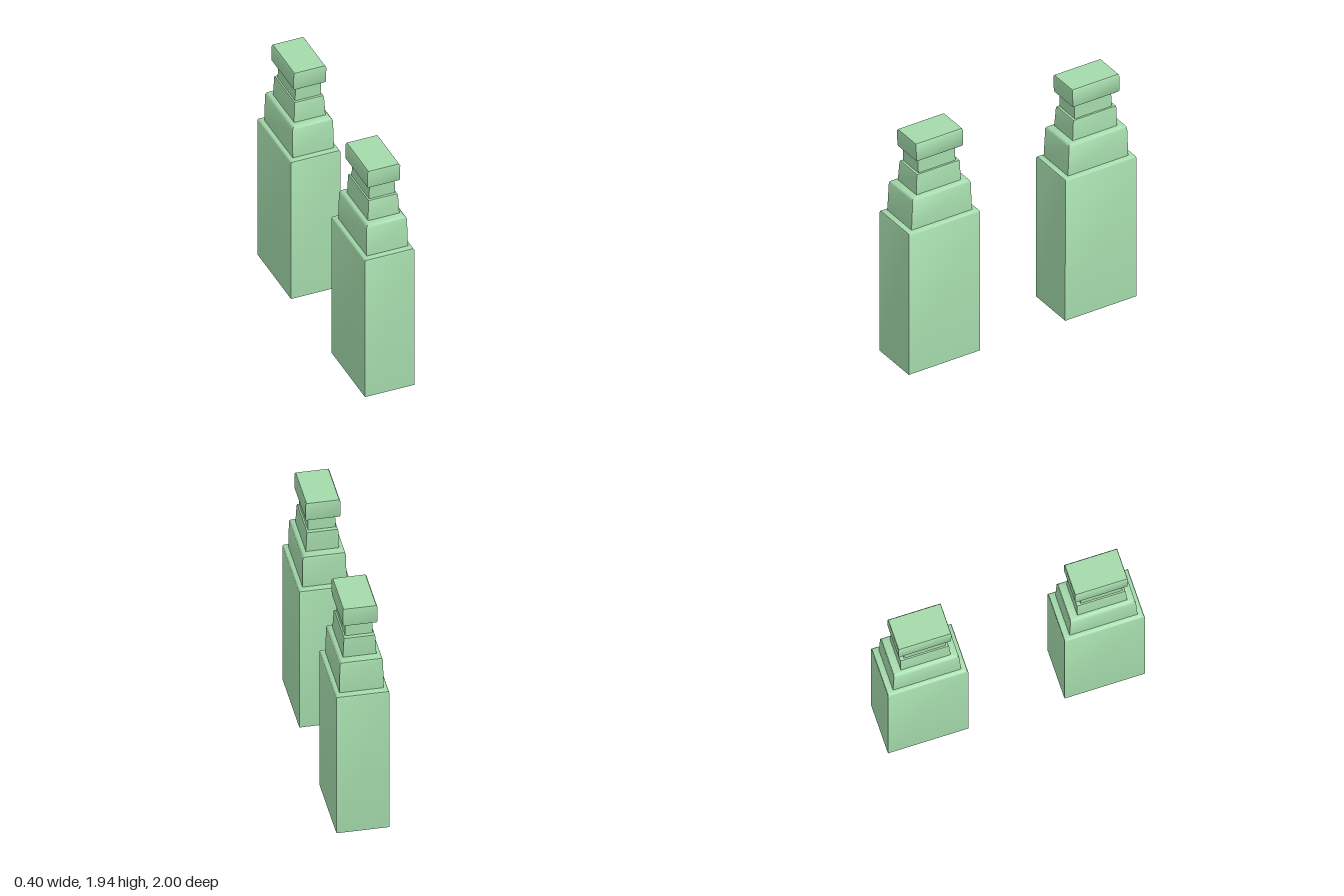
import * as THREE from 'three';
import { toCreasedNormals } from 'three/addons/utils/BufferGeometryUtils.js';

const material = new THREE.MeshStandardMaterial({ color: 0xa3d9aa, side: THREE.DoubleSide });

// Skin a stack of rectangular rings: [y, half width, z min, z max]
function loft(name, rings, closeTop = false) {
  const positions = [];
  const indices = [];
  for (const [y, w, z0, z1] of rings) {
    positions.push(-w, y, z1, w, y, z1, w, y, z0, -w, y, z0);
  }
  for (let r = 0; r < rings.length - 1; r++) {
    for (let i = 0; i < 4; i++) {
      const a = r * 4 + i;
      const b = r * 4 + (i + 1) % 4;
      indices.push(a, b, b + 4, a, b + 4, a + 4);
    }
  }
  if (closeTop) {
    const t = (rings.length - 1) * 4;
    indices.push(t, t + 1, t + 2, t, t + 2, t + 3);
  }
  const geometry = new THREE.BufferGeometry();
  geometry.setAttribute('position', new THREE.Float32BufferAttribute(positions, 3));
  geometry.setIndex(indices);
  const mesh = new THREE.Mesh(toCreasedNormals(geometry, Math.PI / 3.5), material);
  mesh.name = name;
  return mesh;
}

function createTower(name) {
  const tower = new THREE.Group();
  tower.name = name;
  tower.add(
    // Tall shaft, open underneath, with a softened shoulder
    loft('shaft', [
      [0, 0.2, -0.313, 0.313],
      [1.215, 0.2, -0.313, 0.312],
      [1.227, 0.193, -0.308, 0.307],
      [1.235, 0.166, -0.263, 0.267],
    ]),
    // Two tapering tiers, each ending in a ledge
    loft('lowerTier', [
      [1.235, 0.166, -0.263, 0.267],
      [1.475, 0.163, -0.255, 0.255],
      [1.492, 0.15, -0.248, 0.245],
      [1.5, 0.126, -0.189, 0.2],
    ]),
    loft('upperTier', [
      [1.5, 0.126, -0.189, 0.2],
      [1.655, 0.119, -0.189, 0.19],
      [1.667, 0.115, -0.187, 0.185],
      [1.67, 0.104, -0.158, 0.168],
    ]),
    // Narrow neck
    loft('neck', [
      [1.67, 0.104, -0.158, 0.168],
      [1.79, 0.102, -0.153, 0.168],
    ]),
    // Overhanging cap block with slightly broken edges
    loft('cap', [
      [1.79, 0.102, -0.153, 0.168],
      [1.793, 0.125, -0.204, 0.196],
      [1.803, 0.131, -0.207, 0.2],
      [1.93, 0.131, -0.207, 0.205],
      [1.944, 0.123, -0.203, 0.201],
    ], true),
  );
  return tower;
}

export function createModel() {
  const model = new THREE.Group();
  model.name = 'steppedTowers';
  // A matching pair, one in front and one behind
  for (const [name, z] of [['frontTower', 0.687], ['backTower', -0.687]]) {
    const tower = createTower(name);
    tower.position.z = z;
    model.add(tower);
  }
  return model;
}
